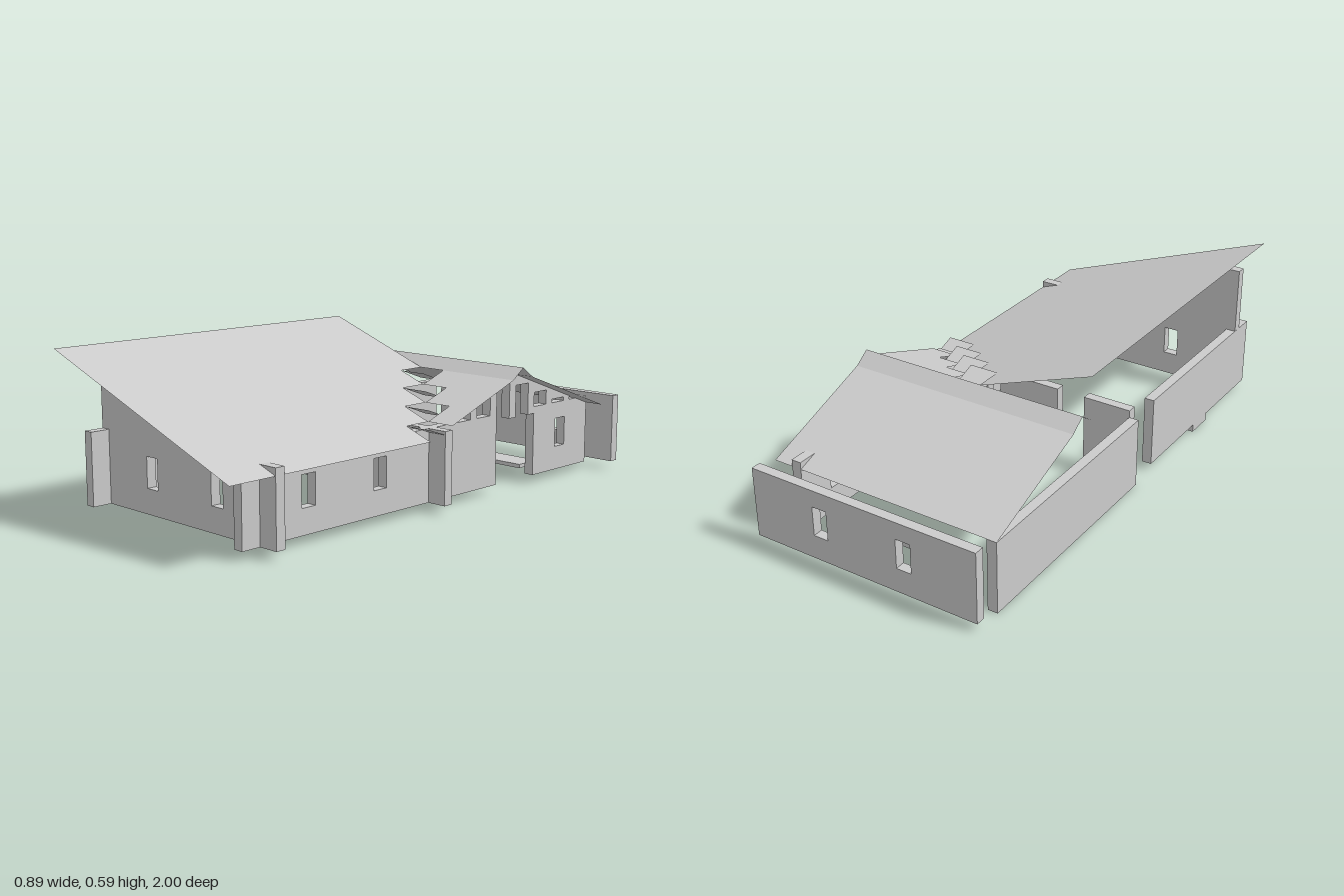
import * as THREE from 'three';

const mat = new THREE.MeshStandardMaterial({ color: 0xcccccc, flatShading: true, side: THREE.DoubleSide });
const T = 0.037;   // wall thickness
const C = 0.1112;  // roof step size
const EAVE = 0.267, RISE = 0.04, TOP = 0.293, BASE = 0.03;

export function createModel() {
  const model = new THREE.Group();
  const add = (name, geo) => {
    const mesh = new THREE.Mesh(geo, mat);
    mesh.name = name;
    model.add(mesh);
    return mesh;
  };

  // Wall outline in (run, y) with rectangular openings [u0, u1, y0, y1]
  const panel = (points, holes = []) => {
    const shape = new THREE.Shape(points.map(p => new THREE.Vector2(...p)));
    for (const [a, b, c, d] of holes) {
      shape.holes.push(new THREE.Path([[a, c], [a, d], [b, d], [b, c]].map(p => new THREE.Vector2(...p))));
    }
    return new THREE.ExtrudeGeometry(shape, { depth: T, bevelEnabled: false });
  };
  const rect = (a, b, c, d) => [[a, c], [b, c], [b, d], [a, d]];
  const wallX = (name, points, z, holes) => add(name, panel(points, holes).translate(0, 0, z));
  const wallZ = (name, points, x, holes) =>
    add(name, panel(points, holes).rotateY(-Math.PI / 2).translate(x + T, 0, 0));
  const box = (name, x0, x1, y0, y1, z0, z1) =>
    add(name, new THREE.BoxGeometry(x1 - x0, y1 - y0, z1 - z0)
      .translate((x0 + x1) / 2, (y0 + y1) / 2, (z0 + z1) / 2));

  // Thin roof sheet from a plan outline [x, z] and a height rule
  const sheet = (name, plan, height) => {
    const geo = new THREE.ShapeGeometry(new THREE.Shape(plan.map(([x, z]) => new THREE.Vector2(x, -z))));
    geo.rotateX(-Math.PI / 2);
    const p = geo.attributes.position;
    for (let i = 0; i < p.count; i++) p.setY(i, height(p.getX(i), p.getZ(i)));
    geo.computeVertexNormals();
    return add(name, geo);
  };
  const slope = RISE / C;
  const X = 0.445;

  // Front wall with stepped gable and two windows
  const gable = [[-X, BASE], [X, BASE], [X, TOP], [3 * C, TOP]];
  for (let i = 2; i >= -4; i--) {
    const y = 0.387 - i * RISE;
    gable.push([(i + 1) * C, y], [i * C, y]);
  }
  wallX('frontWall', gable, 0.78, [[-0.197, -0.14, 0.12, 0.23], [0.138, 0.195, 0.12, 0.23]]);

  // Rear wall, standing free behind the roof
  wallX('rearWall', rect(-X, X, BASE, TOP), -1, [[-0.197, -0.14, 0.12, 0.23], [0.138, 0.195, 0.12, 0.23]]);

  // Cross wall between the rooms, with a door gap
  wallX('crossWallLeft', rect(-X + T, -2 * C, BASE, TOP), 0);
  wallX('crossWallRight', rect(-C, X, BASE, TOP), 0, [[0.138, 0.195, 0.16, 0.25]]);

  // Long walls on the low-eave side
  const xr = 0.333;
  wallZ('longWallFront', rect(0, 0.89, BASE, TOP), xr, [[0.58, 0.64, 0.12, 0.23], [0.25, 0.31, 0.12, 0.23]]);
  wallZ('longWallMiddle', rect(-0.333, 0, BASE, TOP), xr, [[-0.08, -0.02, 0.12, 0.23]]);
  wallZ('longWallRear', rect(-0.89, -0.555, BASE, TOP), xr, [[-0.75, -0.69, 0.12, 0.23]]);

  // Long walls on the high side
  wallZ('highSideWallFront', rect(C, 0.89, BASE, TOP), -X);
  wallZ('highSideWallRear', rect(-0.89, 0, 0, EAVE), -X);
  box('doorSill', -X, -X + T, 0, BASE, 0.45, 0.56);

  // Stepped infill and small posts under the cross gable
  for (let i = 0; i < 4; i++) {
    const z1 = -0.333 - i * C, z0 = z1 - C, y = 0.427 - i * RISE;
    if (i > 0) wallZ('gableInfill', [[z0, y], [z1, y], [z1, y + RISE]], xr);
    box('gablePost', xr, xr + T, EAVE, y, z0, z0 + T);
  }
  wallZ('gablePeak', [[-0.445, 0.427], [-0.333, 0.427], [-0.389, 0.467]], xr);
  for (let i = 0; i < 2; i++) {
    const z = -0.333 + i * C;
    box('gablePost', xr, xr + T, EAVE, 0.387 - i * RISE, z, z + T);
  }

  // Main roof sheet with a stepped valley edge
  const mainPlan = [[-X, -0.333], [-X, 1], [X, 1], [X, C]];
  for (let i = 3; i >= 0; i--) mainPlan.push([i * C, (i - 2) * C], [i * C, (i - 3) * C]);
  sheet('mainRoof', mainPlan, x => 0.427 - slope * x);

  // Cross roof: rear slope, ridge cap and stepped front slope
  const strip = (z0, z1) => [[-X, z0], [-X, z1], [X, z1], [X, z0]];
  sheet('crossRoofRear', strip(-0.89, -0.445), (x, z) => EAVE + slope * (z + 0.89));
  const cap = (x, z) => 0.467 - 0.04 * Math.abs(z + 0.389) / 0.056;
  sheet('ridgeCapRear', strip(-0.445, -0.389), cap);
  sheet('ridgeCapFront', strip(-0.389, -0.333), cap);
  const frontPlan = [[X, -3 * C], [C, -3 * C]];
  for (let i = 1; i <= 3; i++) frontPlan.push([i * C, (i - 3) * C], [Math.min((i + 1) * C, X), (i - 3) * C]);
  sheet('crossRoofFront', frontPlan, (x, z) => 0.307 - slope * z);

  // Tilted valley tiles between the two roofs
  for (let i = 0; i < 4; i++) {
    const x0 = i * C, x1 = x0 + C, z0 = (i - 3) * C, z1 = z0 + C;
    sheet('valleyTile', [[x0, z0], [x0, z1], [x1, z1], [x1, z0]],
      (x, z) => 0.387 - i * RISE + slope * (z - z0));
  }

  // Low floor slabs in the rear room
  box('floorSlab', -C, 2 * C, 0.015, BASE, -0.775, -0.665);
  box('floorSlabSmall', -X + T, -3 * C, 0.015, BASE, -0.775, -0.665);

  return model;
}
